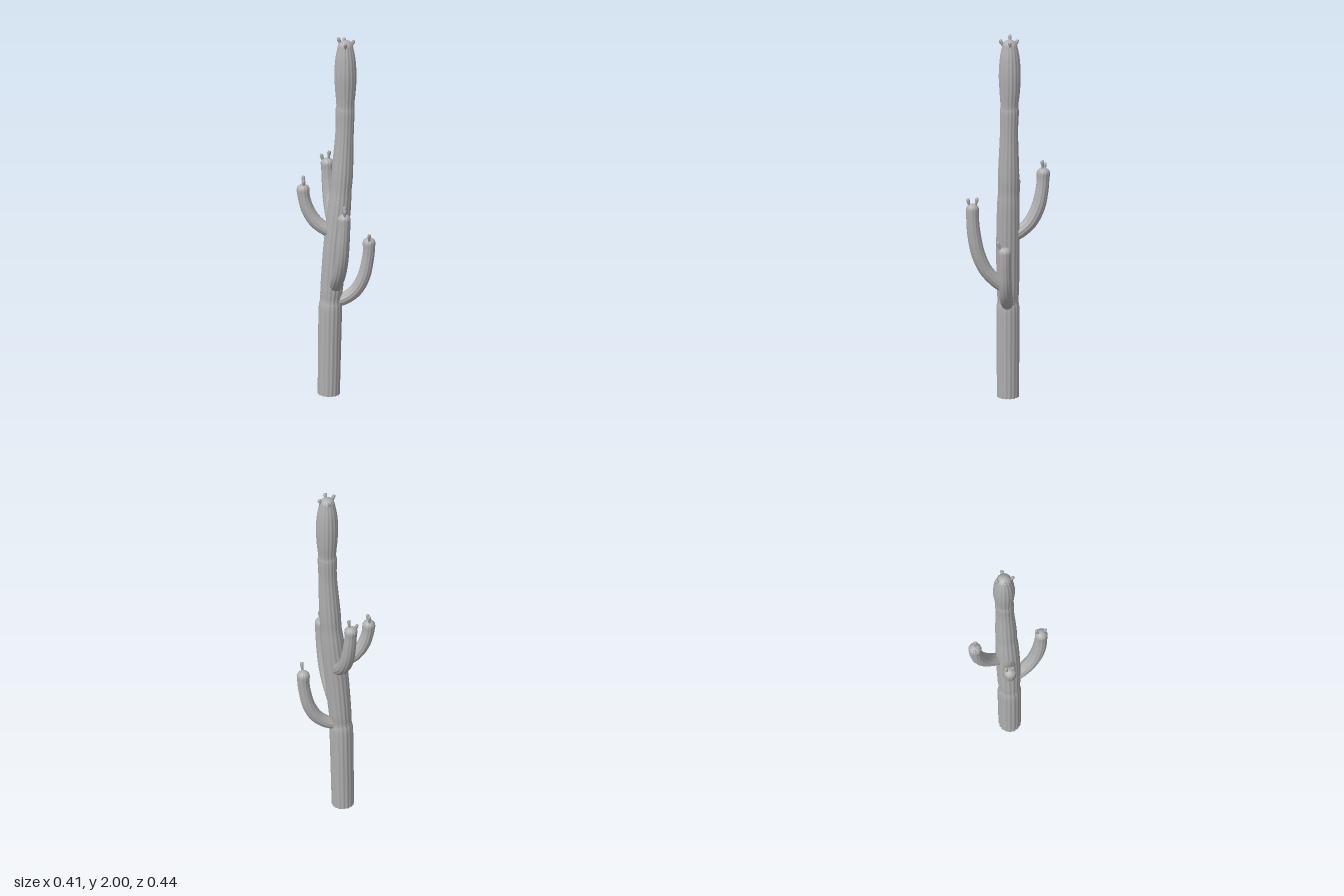
import * as THREE from 'three';

const skin = new THREE.MeshStandardMaterial({ color: 0xb0b0b0, side: THREE.DoubleSide });
skin.name = 'cactus grey';

// Ribbed stem: stations are [x, y, z, radius]; it ends in a dome of the given height.
function stemGeometry(stations, side, ribs, domeHeight, steps) {
  const smooth = (list) => new THREE.CatmullRomCurve3(list, false, 'catmullrom', 0.5);
  const centre = smooth(stations.map(([x, y, z]) => new THREE.Vector3(x, y, z)));
  const width = smooth(stations.map((s, i) => new THREE.Vector3(s[3], i, 0)));
  const around = ribs * 4;
  const positions = [];
  const indices = [];

  const addRing = (c, tangent, r) => {
    const n = new THREE.Vector3().crossVectors(side, tangent).normalize();
    const b = new THREE.Vector3().crossVectors(tangent, n);
    for (let j = 0; j < around; j++) {
      const a = (j / around) * Math.PI * 2;
      // Rounded ribs with narrow grooves between them
      const rr = r * (0.94 + 0.08 * Math.abs(Math.sin((a * ribs) / 2)));
      const p = c.clone().addScaledVector(n, Math.cos(a) * rr).addScaledVector(b, Math.sin(a) * rr);
      positions.push(p.x, p.y, p.z);
    }
  };

  for (let i = 0; i <= steps; i++) {
    const t = i / steps;
    addRing(centre.getPoint(t), centre.getTangent(t), width.getPoint(t).x);
  }
  const end = centre.getPoint(1);
  const tangent = centre.getTangent(1);
  const endRadius = stations[stations.length - 1][3];
  for (let i = 1; i <= 7; i++) {
    const a = (i / 7) * Math.PI * 0.497;
    addRing(end.clone().addScaledVector(tangent, Math.sin(a) * domeHeight), tangent, endRadius * Math.cos(a));
  }

  const rings = positions.length / 3 / around;
  for (let i = 0; i < rings - 1; i++) {
    for (let j = 0; j < around; j++) {
      const k = (j + 1) % around;
      const a = i * around + j, b = i * around + k;
      indices.push(a, b, b + around, a, b + around, a + around);
    }
  }
  const geometry = new THREE.BufferGeometry();
  geometry.setAttribute('position', new THREE.Float32BufferAttribute(positions, 3));
  geometry.setIndex(indices);
  geometry.computeVertexNormals();
  return geometry;
}

function addMesh(parent, name, geometry) {
  const mesh = new THREE.Mesh(geometry, skin);
  mesh.name = name;
  parent.add(mesh);
  return mesh;
}

// Small five-sided flower bud, unit length along y
const budGeometry = new THREE.LatheGeometry(
  [[0.006, 0], [0.0075, 0.35], [0.0105, 0.7], [0.009, 0.93], [0.005, 1], [0, 0.97]]
    .map(([r, y]) => new THREE.Vector2(r, y)), 5);

// Buds stand on a head, leaning outward from its core to their tips
function addBuds(parent, name, core, tips) {
  const from = new THREE.Vector3(...core);
  tips.forEach((tip, i) => {
    const to = new THREE.Vector3(...tip);
    const dir = to.clone().sub(from).normalize();
    const bud = addMesh(parent, `${name}Bud${i + 1}`, budGeometry);
    const length = 0.045;
    bud.position.copy(to).addScaledVector(dir, -length);
    bud.scale.y = length;
    bud.quaternion.setFromUnitVectors(new THREE.Vector3(0, 1, 0), dir);
  });
}

const ARMS = [
  {
    name: 'leftArm',
    path: [[-0.02, 0.515, 0, 0.03], [0.045, 0.535, 0.004, 0.033], [0.105, 0.583, 0.008, 0.034],
      [0.145, 0.66, 0.012, 0.034], [0.165, 0.75, 0.014, 0.032], [0.171, 0.8, 0.015, 0.032],
      [0.172, 0.845, 0.015, 0.034]],
    core: [0.172, 0.79, 0.015],
    tips: [[0.17, 0.907, 0.053]],
  },
  {
    name: 'frontArm',
    path: [[-0.01, 0.6, 0.01, 0.032], [-0.004, 0.645, 0.065, 0.035], [0.006, 0.71, 0.12, 0.036],
      [0.016, 0.8, 0.158, 0.036], [0.022, 0.9, 0.178, 0.035], [0.027, 0.99, 0.186, 0.033],
      [0.028, 1.045, 0.187, 0.034]],
    core: [0.028, 0.98, 0.186],
    tips: [[0.032, 1.108, 0.161], [0.03, 1.103, 0.211]],
  },
  {
    name: 'rightArm',
    path: [[0.005, 0.89, -0.002, 0.03], [-0.055, 0.922, -0.008, 0.034], [-0.11, 0.965, -0.018, 0.035],
      [-0.148, 1.025, -0.025, 0.034], [-0.168, 1.09, -0.029, 0.032], [-0.174, 1.14, -0.03, 0.034]],
    core: [-0.174, 1.07, -0.031],
    tips: [[-0.172, 1.208, -0.052], [-0.172, 1.198, -0.014]],
  },
  {
    name: 'backArm',
    path: [[0.005, 0.88, -0.01, 0.03], [-0.005, 0.917, -0.07, 0.034], [-0.015, 0.968, -0.122, 0.036],
      [-0.024, 1.045, -0.16, 0.036], [-0.03, 1.13, -0.179, 0.034], [-0.033, 1.19, -0.185, 0.033],
      [-0.034, 1.226, -0.187, 0.035]],
    core: [-0.034, 1.16, -0.187],
    tips: [[-0.067, 1.275, -0.197], [-0.025, 1.298, -0.182]],
  },
];

export function createModel() {
  const cactus = new THREE.Group();
  cactus.name = 'cactus';

  // Leaning trunk with pinched joints and a swollen head
  const trunk = [
    [-0.04, 0, 0, 0.058], [-0.036, 0.25, 0, 0.06], [-0.032, 0.47, 0, 0.061], [-0.03, 0.53, 0, 0.055],
    [-0.024, 0.6, 0, 0.059], [-0.006, 0.82, 0, 0.062], [0.016, 1.04, -0.002, 0.06],
    [0.025, 1.14, -0.003, 0.055], [0.032, 1.24, -0.004, 0.056], [0.044, 1.46, -0.006, 0.048],
    [0.047, 1.58, -0.008, 0.05], [0.048, 1.62, -0.008, 0.047], [0.049, 1.7, -0.01, 0.054],
    [0.049, 1.79, -0.01, 0.058], [0.049, 1.88, -0.01, 0.052], [0.049, 1.945, -0.01, 0.04],
  ];
  addMesh(cactus, 'trunk', stemGeometry(trunk, new THREE.Vector3(0, 0, 1), 16, 0.035, 90));
  addBuds(cactus, 'trunk', [0.049, 1.87, -0.01],
    [[0.044, 1.98, -0.053], [0.01, 1.997, -0.012], [0.094, 1.98, -0.012], [0.045, 1.98, 0.041]]);

  // Arms curving outward and up
  for (const { name, path, core, tips } of ARMS) {
    const arm = new THREE.Group();
    arm.name = name;
    const [first, last] = [path[0], path[path.length - 1]];
    const side = new THREE.Vector3(last[2] - first[2], 0, first[0] - last[0]).normalize();
    addMesh(arm, `${name}Stem`, stemGeometry(path, side, 12, 0.03, 40));
    addBuds(arm, name, core, tips);
    cactus.add(arm);
  }
  return cactus;
}
